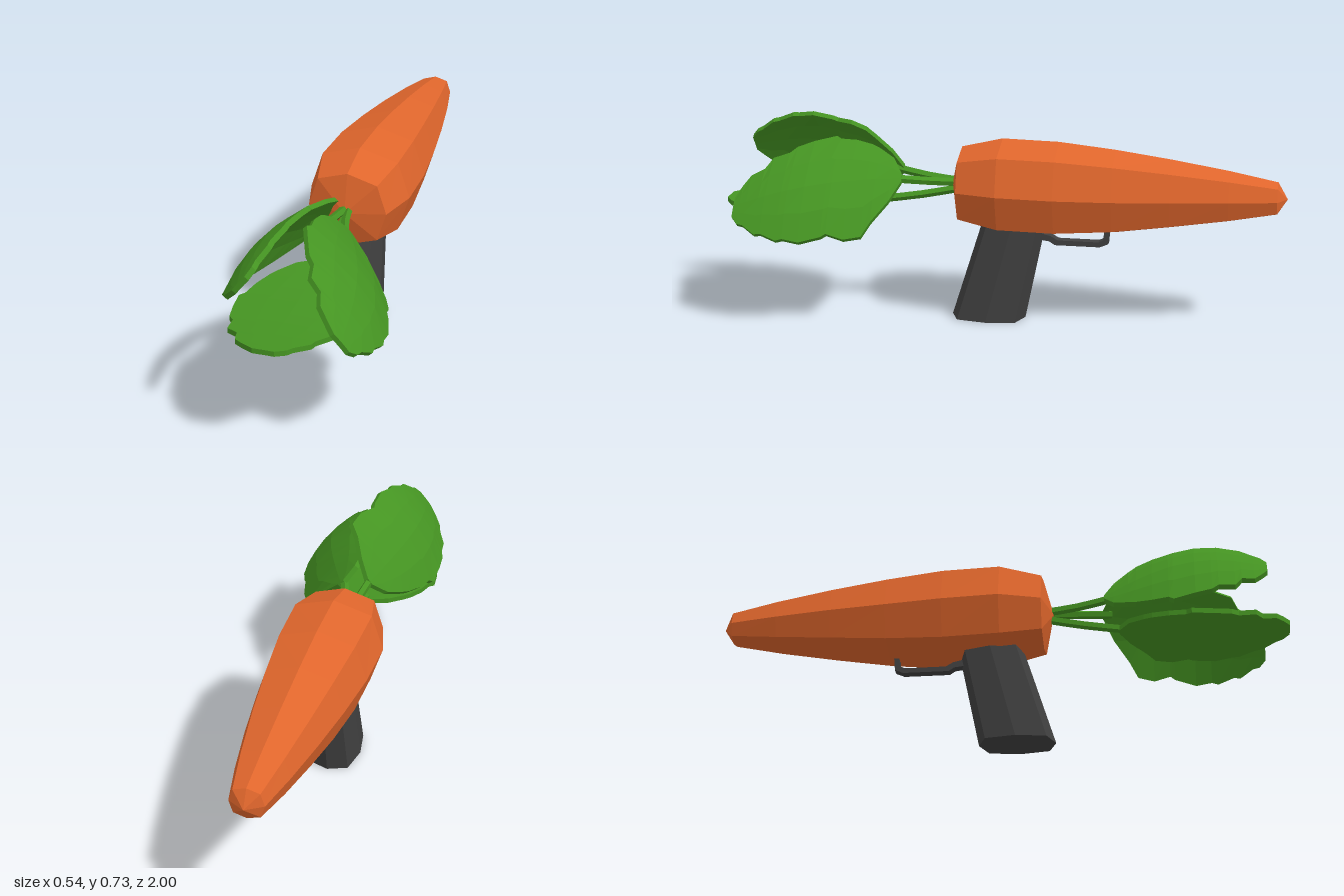
import * as THREE from 'three';

const V = (x, y, z) => new THREE.Vector3(x, y, z);
const mat = (color) => new THREE.MeshStandardMaterial({ color, flatShading: true });
const orange = mat(0xe0662c), green = mat(0x459422), dark = mat(0x404040);
const CX = -0.04; // the body sits slightly off centre

// Skin over a list of rings (clockwise seen from the far end), closed with fans.
function loft(rings, startApex, endApex) {
  const n = rings[0].length, pos = [];
  const tri = (...p) => p.forEach((v) => pos.push(v.x, v.y, v.z));
  const mid = (r) => r.reduce((s, v) => s.add(v), V(0, 0, 0)).divideScalar(n);
  const first = rings[0], last = rings[rings.length - 1];
  const a0 = startApex || mid(first), a1 = endApex || mid(last);
  for (let j = 0; j < n; j++) {
    const k = (j + 1) % n;
    tri(a0, first[j], first[k]);
    tri(a1, last[k], last[j]);
    for (let i = 0; i < rings.length - 1; i++) {
      const [a, b, c, d] = [rings[i][j], rings[i + 1][j], rings[i + 1][k], rings[i][k]];
      tri(a, b, c);
      tri(a, c, d);
    }
  }
  const g = new THREE.BufferGeometry();
  g.setAttribute('position', new THREE.Float32BufferAttribute(pos, 3));
  g.computeVertexNormals();
  return g;
}

// Slightly squared octagon, returned as [x, y] pairs
function octagon(rx, ry, bulge) {
  return Array.from({ length: 8 }, (_, i) => {
    const a = (i * Math.PI) / 4, k = i % 2 ? bulge : 1;
    return [Math.cos(a) * rx * k, Math.sin(a) * ry * k];
  });
}

// Jagged leaf outline: distance along, half width on each side
const OUTLINE = [
  [0, 0.07, 0.07], [0.06, 0.4, 0.42], [0.15, 0.62, 0.75], [0.2, 0.72, 0.98],
  [0.3, 0.85, 1], [0.4, 0.92, 0.88], [0.43, 1, 0.92], [0.56, 0.96, 0.95],
  [0.66, 0.9, 0.84], [0.7, 0.8, 0.84], [0.8, 0.78, 0.66], [0.84, 0.58, 0.64],
  [0.92, 0.52, 0.42], [0.96, 0.36, 0.36], [1, 0.16, 0.2],
];

// base: start of blade, u: sideways axis, n: upper side, rise: bulge along n,
// drift: sideways slide toward the tip, droop: fall of the edges
function leafGeometry({ base, u, n, length, half, rise, tipRise, drift, droop }) {
  const thick = 0.018;
  const rings = OUTLINE.map(([s, wl, wr]) => {
    const h = rise * Math.sin(Math.PI * Math.min(s * 0.9, 1)) + tipRise * s;
    const row = [-1, -0.5, 0, 0.5, 1].map((f) => {
      const t = f * (f < 0 ? wl : wr);
      return base.clone()
        .addScaledVector(u, t * half + drift * s)
        .addScaledVector(n, h - droop * t * t)
        .add(V(0, 0, s * length));
    });
    const under = row.map((p) => p.clone().addScaledVector(n, -thick)).reverse();
    return [...row, ...under];
  });
  return loft(rings);
}

export function createModel() {
  const model = new THREE.Group();
  const add = (name, geometry, material, parent = model) => {
    const m = new THREE.Mesh(geometry, material);
    m.name = name;
    parent.add(m);
    return m;
  };

  // Carrot body: z, half width, half height, centre height
  const body = [
    [0.145, 0.14, 0.135, 0.49], [0, 0.18, 0.168, 0.492], [-0.2, 0.175, 0.168, 0.488],
    [-0.4, 0.154, 0.15, 0.486], [-0.6, 0.127, 0.122, 0.487],
    [-0.8, 0.094, 0.09, 0.487], [-0.965, 0.06, 0.058, 0.487],
  ].map(([z, rx, ry, cy]) => octagon(rx, ry, 1.08).map(([x, y]) => V(CX + x, cy + y, z)));
  add('carrotBody', loft(body, V(CX, 0.49, 0.18), V(CX, 0.485, -1)), orange);

  // Raked grip: height, centre z, half width, half depth
  const grip = [[0, 0.05, 0.088, 0.133], [0.37, -0.045, 0.074, 0.113]]
    .map(([y, cz, rx, rz]) => octagon(rx, rz, 1.12).map(([x, z]) => V(CX - 0.002 + x, y, cz + z)));
  add('grip', loft(grip), dark);

  // Trigger guard: bent strip under the body (shape x runs toward -z)
  const strip = new THREE.Shape([
    [0.13, 0.3], [0.17, 0.295], [0.19, 0.282], [0.35, 0.282], [0.38, 0.295], [0.384, 0.345],
    [0.366, 0.345], [0.362, 0.308], [0.345, 0.3], [0.2, 0.3], [0.175, 0.315], [0.13, 0.325],
  ].map(([x, y]) => new THREE.Vector2(x, y)));
  const guard = add('triggerGuard', new THREE.ExtrudeGeometry(strip, { depth: 0.034, bevelEnabled: false }), dark);
  guard.rotation.y = Math.PI / 2;
  guard.position.x = CX - 0.017;

  // Three leaves, each on its own stem
  const leaves = [
    { name: 'lowerLeaf', base: V(CX, 0.428, 0.41), u: V(1, 0, 0), n: V(0, 1, 0),
      length: 0.59, half: 0.205, rise: -0.025, tipRise: -0.01, drift: 0, droop: 0.008 },
    { name: 'rightLeaf', base: V(-0.075, 0.535, 0.36), u: V(0.62, 0.78, 0), n: V(-0.78, 0.62, 0),
      length: 0.57, half: 0.195, rise: 0.085, tipRise: 0.06, drift: 0, droop: 0.035 },
    { name: 'leftLeaf', base: V(0.035, 0.52, 0.35), u: V(0.67, -0.74, 0), n: V(0.74, 0.67, 0),
      length: 0.57, half: 0.21, rise: 0.065, tipRise: 0.04, drift: 0.17, droop: 0.04 },
  ];
  for (const leaf of leaves) {
    const group = new THREE.Group();
    group.name = leaf.name;
    model.add(group);
    add('blade', leafGeometry(leaf), green, group);
    const end = leaf.base.clone().addScaledVector(leaf.n, -0.008).add(V(0, 0, 0.03));
    const start = V(CX + (end.x - CX) * 0.1, 0.49 + (end.y - 0.49) * 0.2, 0.14);
    const bend = start.clone().lerp(end, 0.5).add(V((CX - end.x) * 0.12, -0.004, 0));
    const path = new THREE.CatmullRomCurve3([start, bend, end]);
    add('stem', new THREE.TubeGeometry(path, 4, 0.015, 5), green, group);
  }
  return model;
}
